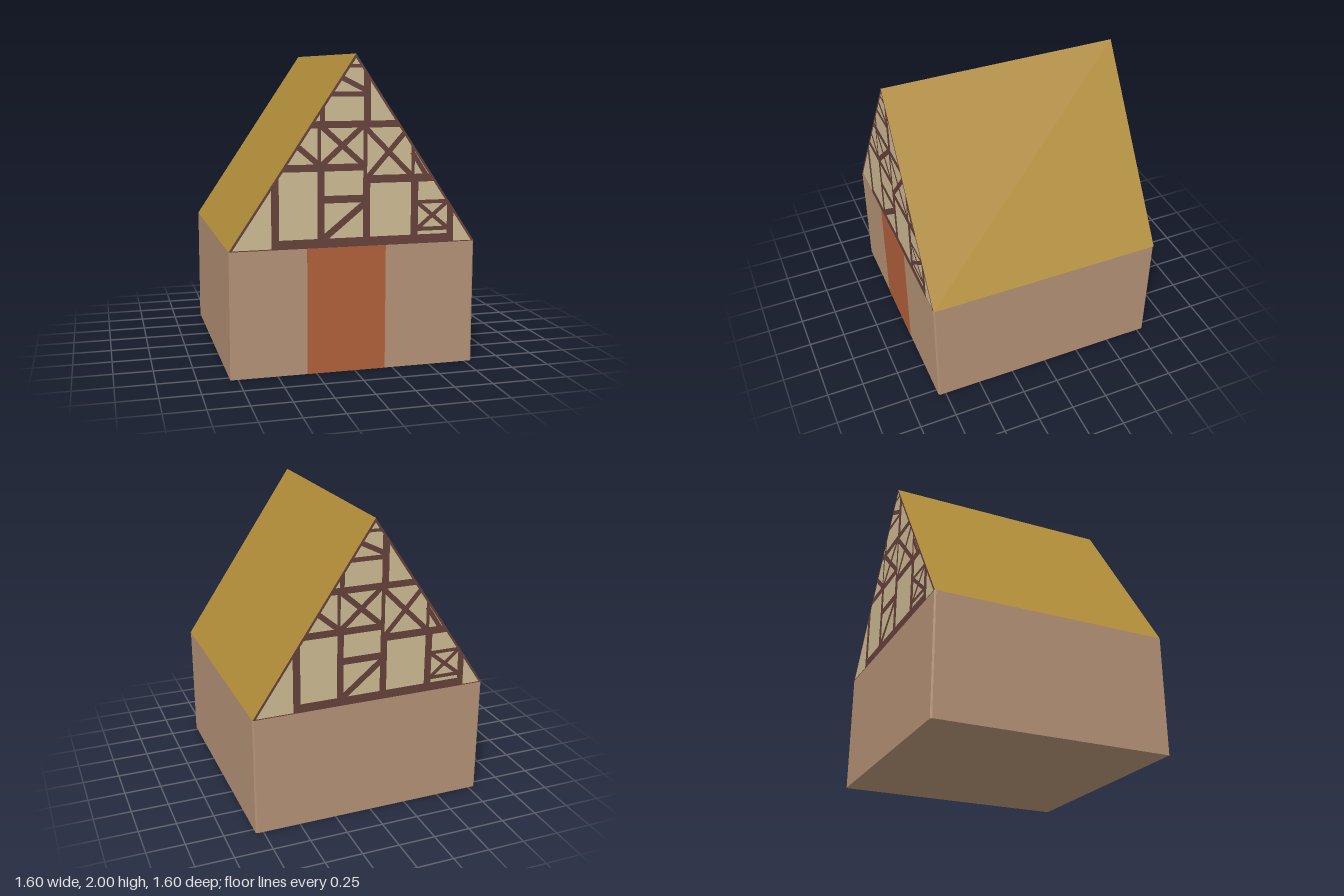
import * as THREE from 'three';

const paint = (name, color) => Object.assign(new THREE.MeshStandardMaterial({ color }), { name });

const HALF = 0.8, EAVE = 0.805, RIDGE = 2;

// Beams as [x1, y1, x2, y2, width]
const rails = [
  [-0.535, 0.833, 0.655, 0.833, 0.06], [-0.6, 1.305, 0.06, 1.305, 0.045],
  [0.05, 1.227, 0.6, 1.227, 0.05], [-0.4, 1.57, 0.4, 1.57, 0.043],
  [-0.2, 1.755, 0.08, 1.755, 0.03], [-0.1, 1.925, 0.1, 1.925, 0.02],
  [-0.21, 1.107, 0.06, 1.107, 0.047], [0.4, 1.072, 0.63, 1.072, 0.024],
  [0.4, 0.898, 0.63, 0.898, 0.026],
];
const posts = [
  [-0.511, 0.81, -0.511, 1.28, 0.048], [-0.222, 0.81, -0.222, 1.3, 0.043],
  [0.072, 0.81, 0.072, 1.25, 0.046], [0.062, 1.22, 0.062, 1.58, 0.025],
  [0.073, 1.57, 0.073, 1.94, 0.046], [0.389, 0.81, 0.389, 1.24, 0.048],
  [0.632, 0.81, 0.632, 1.08, 0.044], [-0.233, 1.3, -0.233, 1.58, 0.022],
  [-0.212, 1.57, -0.212, 1.7, 0.03], [0.376, 1.24, 0.376, 1.45, 0.022],
];
const braces = [
  [-0.23, 1.57, 0.06, 1.31, 0.035], [0.06, 1.57, -0.23, 1.31, 0.035],
  [0.06, 1.55, 0.38, 1.23, 0.033], [0.36, 1.56, 0.06, 1.22, 0.033],
  [-0.4, 1.465, -0.23, 1.32, 0.035], [-0.22, 0.85, 0.07, 1.085, 0.042],
  [0.4, 1.075, 0.62, 0.895, 0.026], [0.62, 1.075, 0.4, 0.895, 0.026],
  [0.37, 1.39, 0.48, 1.22, 0.03], [-0.12, 1.87, 0.06, 1.78, 0.032],
];
const edges = [
  [-HALF, EAVE, 0, RIDGE, 0.03], [HALF, EAVE, 0, RIDGE, 0.03], [-HALF, EAVE, HALF, EAVE, 0.012],
];

// Trim a polygon to the gable triangle, one edge at a time
const gableCorners = [[-HALF, EAVE], [HALF, EAVE], [0, RIDGE]].map(p => new THREE.Vector2(...p));
function trimToGable(points) {
  gableCorners.forEach((a, i) => {
    const b = gableCorners[(i + 1) % 3];
    const side = p => (b.x - a.x) * (p.y - a.y) - (b.y - a.y) * (p.x - a.x);
    const kept = [];
    points.forEach((p, j) => {
      const q = points[(j + 1) % points.length], sp = side(p), sq = side(q);
      if (sp >= 0) kept.push(p);
      if ((sp >= 0) !== (sq >= 0)) kept.push(p.clone().lerp(q, sp / (sp - sq)));
    });
    points = kept;
  });
  return points;
}

function beamShape([x1, y1, x2, y2, width]) {
  const a = new THREE.Vector2(x1, y1), b = new THREE.Vector2(x2, y2);
  const n = b.clone().sub(a).normalize().multiplyScalar(width / 2);
  n.set(-n.y, n.x);
  return new THREE.Shape(trimToGable([a.clone().sub(n), b.clone().sub(n), b.clone().add(n), a.clone().add(n)]));
}

export function createModel() {
  const wall = paint('wall clay', 0xb59276);
  const roof = paint('thatch', 0xb18d39);
  const plaster = paint('plaster', 0xcdba93);
  const timber = paint('timber', 0x66413b);
  const doorRed = paint('door rust', 0xb1603a);
  roof.side = THREE.DoubleSide;

  const house = new THREE.Group();
  house.name = 'house';
  const add = (parent, name, geometry, material) => {
    const mesh = new THREE.Mesh(geometry, material);
    mesh.name = name;
    parent.add(mesh);
    return mesh;
  };

  // Walls: square plan with slightly clipped corners
  const w = HALF, c = HALF - 0.01;
  const plan = new THREE.Shape([[-w, -w], [c, -w], [w, -c], [w, c], [c, w], [-c, w], [-w, c]]
    .map(p => new THREE.Vector2(...p)));
  const walls = new THREE.ExtrudeGeometry(plan, { depth: EAVE, bevelEnabled: false });
  add(house, 'walls', walls.rotateX(-Math.PI / 2), wall);

  // Door panel on the front
  const door = add(house, 'door', new THREE.BoxGeometry(0.51, EAVE, 0.004), doorRed);
  door.position.set(-0.055, EAVE / 2, HALF);

  // Two roof slopes
  const rise = RIDGE - EAVE;
  for (const side of [-1, 1]) {
    const slope = new THREE.PlaneGeometry(2 * HALF, Math.hypot(HALF, rise));
    slope.rotateX(-Math.atan2(HALF, rise)).rotateY(side * Math.PI / 2);
    slope.translate(side * HALF / 2, EAVE + rise / 2, 0);
    add(house, side > 0 ? 'leftRoof' : 'rightRoof', slope, roof);
  }

  // Half-timbered gables, the back one turned around
  const frame = new THREE.ShapeGeometry([...rails, ...posts, ...braces, ...edges].map(beamShape));
  const panel = new THREE.ShapeGeometry(new THREE.Shape(gableCorners));
  for (const name of ['frontGable', 'backGable']) {
    const gable = new THREE.Group();
    gable.name = name;
    add(gable, 'plasterPanel', panel, plaster).position.z = HALF - 0.004;
    add(gable, 'timberFrame', frame, timber).position.z = HALF;
    if (name === 'backGable') gable.rotation.y = Math.PI;
    house.add(gable);
  }
  return house;
}
